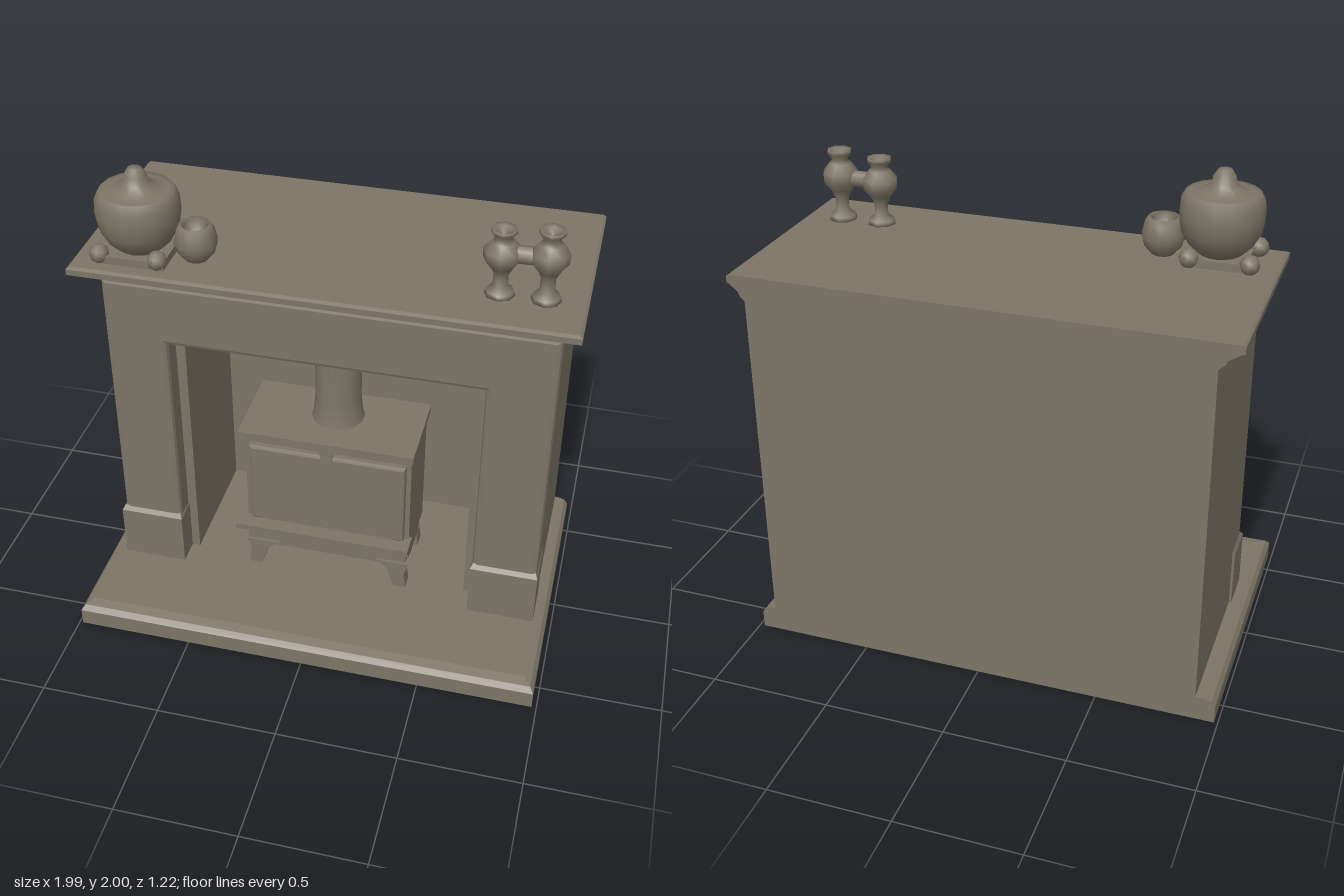
import * as THREE from 'three';

const stone = new THREE.MeshStandardMaterial({ color: 0x7d7567 });
stone.name = 'warm grey stone';

export function createModel() {
  const root = new THREE.Group();
  root.name = 'fireplace';

  const add = (name, geometry, x = 0, y = 0, z = 0, parent = root) => {
    const mesh = new THREE.Mesh(geometry, stone);
    mesh.name = name;
    mesh.position.set(x, y, z);
    parent.add(mesh);
    return mesh;
  };

  // Box given by its limits
  const block = (name, x0, x1, y0, y1, z0, z1, parent = root) =>
    add(name, new THREE.BoxGeometry(x1 - x0, y1 - y0, z1 - z0),
      (x0 + x1) / 2, (y0 + y1) / 2, (z0 + z1) / 2, parent);

  // Stacked rectangles: each level is [y, left, right, back, front]
  const stack = (levels) => {
    const pos = [];
    const rings = levels.map(([y, l, r, b, f]) => [[l, y, f], [r, y, f], [r, y, b], [l, y, b]]);
    const quad = (a, b, c, d) => [a, b, c, a, c, d].forEach((p) => pos.push(...p));
    for (let k = 0; k < rings.length - 1; k++) {
      for (let i = 0; i < 4; i++) {
        const j = (i + 1) % 4;
        quad(rings[k][i], rings[k][j], rings[k + 1][j], rings[k + 1][i]);
      }
    }
    const [lo, hi] = [rings[0], rings[rings.length - 1]];
    quad(hi[0], hi[1], hi[2], hi[3]);
    quad(lo[3], lo[2], lo[1], lo[0]);
    const g = new THREE.BufferGeometry();
    g.setAttribute('position', new THREE.Float32BufferAttribute(pos, 3));
    g.computeVertexNormals();
    return g;
  };

  const polygon = (points) => new THREE.Shape(points.map(([x, y]) => new THREE.Vector2(x, y)));
  const slab = (shape, z0, z1, bevel = 0) => {
    const g = new THREE.ExtrudeGeometry(shape, {
      depth: z1 - z0 - bevel * 2, bevelEnabled: bevel > 0, bevelSize: bevel,
      bevelThickness: bevel, bevelOffset: -bevel, bevelSegments: 2, curveSegments: 10,
    });
    g.translate(0, 0, z0 + bevel);
    return g;
  };
  const lathe = (points, sides) =>
    new THREE.LatheGeometry(points.map(([r, y]) => new THREE.Vector2(r, y)), sides);

  // Hearth and moulded mantel shelf, both flush at the back
  add('hearth', stack([
    [0, -0.985, 0.98, -0.61, 0.61], [0.075, -0.985, 0.98, -0.61, 0.61],
    [0.095, -0.97, 0.965, -0.61, 0.59], [0.105, -0.94, 0.935, -0.61, 0.55],
  ]));
  add('mantelShelf', stack([
    [1.53, -0.905, 0.92, -0.61, 0.21], [1.55, -0.93, 0.94, -0.61, 0.235],
    [1.565, -0.935, 0.945, -0.61, 0.245], [1.595, -0.98, 0.98, -0.61, 0.295],
    [1.6, -0.995, 0.99, -0.61, 0.315], [1.625, -0.995, 0.99, -0.61, 0.315],
    [1.632, -0.985, 0.98, -0.61, 0.3],
  ]));

  // Surround: arch-like slabs around the opening
  const arch = (l, r, top, inL, inR, inTop) => polygon([
    [l, 0.1], [inL, 0.1], [inL, inTop], [inR, inTop], [inR, 0.1], [r, 0.1], [r, top], [l, top],
  ]);
  add('surround', slab(arch(-0.905, 0.92, 1.54, -0.645, 0.645, 1.26), 0.08, 0.215, 0.02));
  add('chimneyBreast', slab(arch(-0.905, 0.92, 1.54, -0.605, 0.605, 1.222), -0.43, 0.12));
  block('backWall', -0.905, 0.92, 0.1, 1.54, -0.61, -0.43);
  for (const [l, r] of [[-0.915, -0.64], [0.64, 0.925]]) {
    add('plinthBlock', stack([
      [0.1, l, r, 0.05, 0.23], [0.345, l, r, 0.05, 0.23], [0.365, l + 0.01, r - 0.01, 0.05, 0.212],
    ]));
  }

  // Stove body as a hollow shell
  const stove = new THREE.Group();
  stove.name = 'stove';
  root.add(stove);
  const outline = () => polygon([[-0.365, 0.22], [0.355, 0.22], [0.355, 0.82], [-0.365, 0.82]]);
  const windowHole = (l, r, b, side, top) => {
    const p = new THREE.Path();
    p.moveTo(l, b);
    p.lineTo(l, side);
    p.quadraticCurveTo(l + 0.04, top, 0, top);
    p.quadraticCurveTo(r - 0.04, top, r, side);
    p.lineTo(r, b);
    p.closePath();
    return p;
  };
  const shell = outline();
  shell.holes.push(windowHole(-0.25, 0.25, 0.44, 0.63, 0.71));
  add('stoveShell', slab(shell, 0.0, 0.12), 0, 0, 0, stove);
  block('stoveBack', -0.365, 0.355, 0.22, 0.82, -0.2, 0.005, stove);
  const door = polygon([[-0.34, 0.36], [0.335, 0.36], [0.335, 0.76], [-0.34, 0.76]]);
  door.holes.push(windowHole(-0.28, 0.28, 0.38, 0.64, 0.735));
  add('doorFrame', slab(door, 0.11, 0.155, 0.012), 0, 0, 0, stove);
  block('doorSill', -0.28, 0.28, 0.38, 0.44, 0.1, 0.13, stove);
  block('stoveTop', -0.38, 0.37, 0.81, 0.84, -0.21, 0.17, stove);
  block('ashLedge', -0.4, 0.365, 0.325, 0.35, 0.1, 0.2, stove);
  block('lowerPanel', -0.36, 0.35, 0.22, 0.325, 0.1, 0.15, stove);
  add('topBracket', slab(polygon([[-0.02, 0.74], [0.02, 0.74], [0.03, 0.79], [0.08, 0.815],
    [-0.08, 0.815], [-0.03, 0.79]]), 0.1, 0.165), 0, 0, 0, stove);

  // Splayed legs, mirrored
  for (const s of [-1, 1]) {
    const points = [[0.365, 0.24], [0.22, 0.24], [0.27, 0.2], [0.3, 0.1], [0.355, 0.1], [0.345, 0.18]];
    const leg = polygon(points.map(([x, y]) => [s * x, y]));
    for (const z of [-0.19, 0.09]) add('stoveLeg', slab(leg, z, z + 0.07), 0, 0, 0, stove);
  }

  // Logs lying behind the door
  for (const [x, y, w] of [[-0.14, 0.485, 0.1], [0.02, 0.465, 0.08], [0.13, 0.485, 0.07]]) {
    add('log', new THREE.SphereGeometry(1, 10, 6), x, y, 0.06, stove).scale.set(w, 0.025, 0.05);
  }
  block('logBed', -0.25, 0.25, 0.43, 0.46, 0, 0.11, stove);

  add('fluePipe', lathe([[0.115, 0.83], [0.105, 0.87], [0.097, 0.95], [0.097, 1.26]], 14), 0, 0, -0.05);

  // Large round jar on a stand
  const jar = new THREE.Group();
  jar.name = 'jar';
  jar.position.set(-0.75, 1.63, 0.13);
  root.add(jar);
  add('jarBody', lathe([[0, 0.02], [0.08, 0.03], [0.125, 0.07], [0.158, 0.13], [0.167, 0.19],
    [0.163, 0.25], [0.145, 0.28], [0.125, 0.275], [0.09, 0.285], [0.05, 0.31], [0.045, 0.34],
    [0.025, 0.37], [0, 0.372]], 16), 0, 0, 0, jar);
  block('jarStand', -0.12, 0.13, 0, 0.035, -0.11, 0.12, jar);
  for (const x of [-0.135, 0.1]) {
    for (const z of [-0.1, 0.1]) {
      add('standFoot', new THREE.SphereGeometry(0.04, 8, 6), x, 0.035, z, jar);
    }
  }

  // Small open pot
  add('smallPot', lathe([[0, 0], [0.045, 0], [0.075, 0.035], [0.087, 0.08], [0.075, 0.13],
    [0.06, 0.153], [0.045, 0.145], [0.045, 0.09], [0, 0.085]], 12), -0.525, 1.635, 0.125);

  // Pair of joined candlesticks
  for (const [x, h] of [[0.655, 0.97], [0.83, 1.03]]) {
    add('candlestick', lathe([[0, 0], [0.06, 0], [0.055, 0.02], [0.03, 0.04], [0.028, 0.09],
      [0.045, 0.125], [0.072, 0.16], [0.074, 0.2], [0.045, 0.235], [0.03, 0.25], [0.05, 0.275],
      [0.05, 0.29], [0.035, 0.285], [0, 0.26]], 8), x, 1.63, 0.09).scale.y = h;
  }
  const link = add('candlestickLink', new THREE.CylinderGeometry(0.035, 0.035, 0.09, 8), 0.742, 1.81, 0.09);
  link.rotation.z = Math.PI / 2;

  return root;
}
